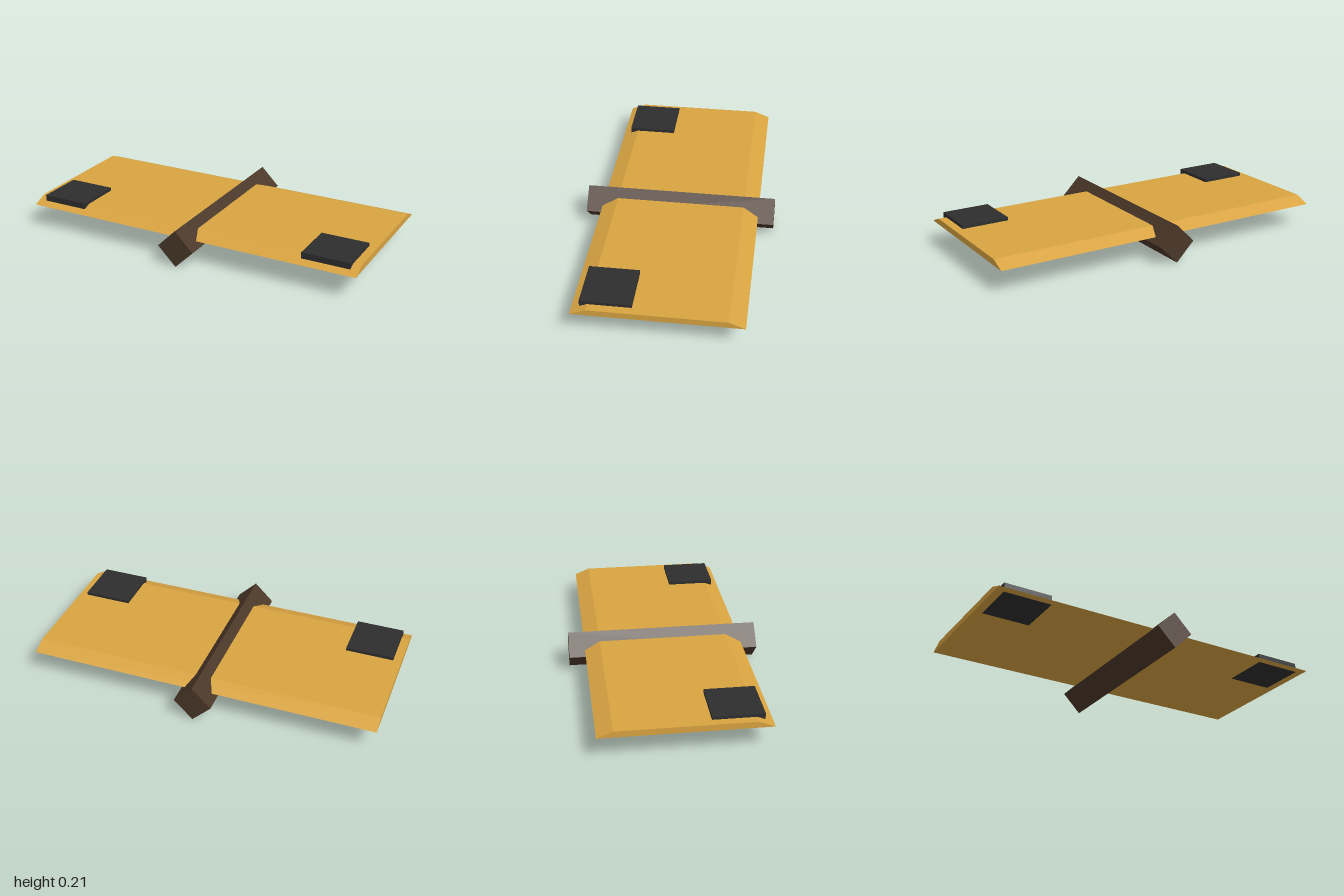
import * as THREE from 'three';

export function createModel() {
  const group = new THREE.Group();
  const wood = new THREE.MeshStandardMaterial({ name: 'golden wood', color: 0xd9a441 });
  const darkWood = new THREE.MeshStandardMaterial({ name: 'dark wood', color: 0x4a3728 });
  const rubber = new THREE.MeshStandardMaterial({ name: 'black pad', color: 0x2e2e2e });

  const add = (name, geometry, material, x, y, z) => {
    const mesh = new THREE.Mesh(geometry, material);
    mesh.name = name;
    mesh.position.set(x, y, z);
    group.add(mesh);
    return mesh;
  };

  // Plank: a flat box whose top is drawn in along z to bevel the long edges
  const bottom = 0.134, top = 0.169;
  const plank = new THREE.BoxGeometry(2, top - bottom, 0.9);
  const p = plank.attributes.position;
  for (let i = 0; i < p.count; i++) {
    if (p.getY(i) > 0) p.setZ(i, Math.sign(p.getZ(i)) * 0.364);
  }
  plank.computeVertexNormals();
  add('plank', plank, wood, 0, (bottom + top) / 2, 0);

  // Pivot beam: a square bar standing on its edge
  const side = 0.151;
  const beam = add('pivotBeam', new THREE.BoxGeometry(side, side, 1.08), darkWood, 0, side / Math.SQRT2, 0);
  beam.rotation.z = Math.PI / 4;

  // Pads let through the plank near its two ends, just showing underneath
  const padBottom = bottom - 0.0005, padTop = 0.187;
  for (const [name, s] of [['leftPad', 1], ['rightPad', -1]]) {
    add(name, new THREE.BoxGeometry(0.273, padTop - padBottom, 0.273), rubber,
      s * 0.817, (padTop + padBottom) / 2, 0.27);
  }
  return group;
}
